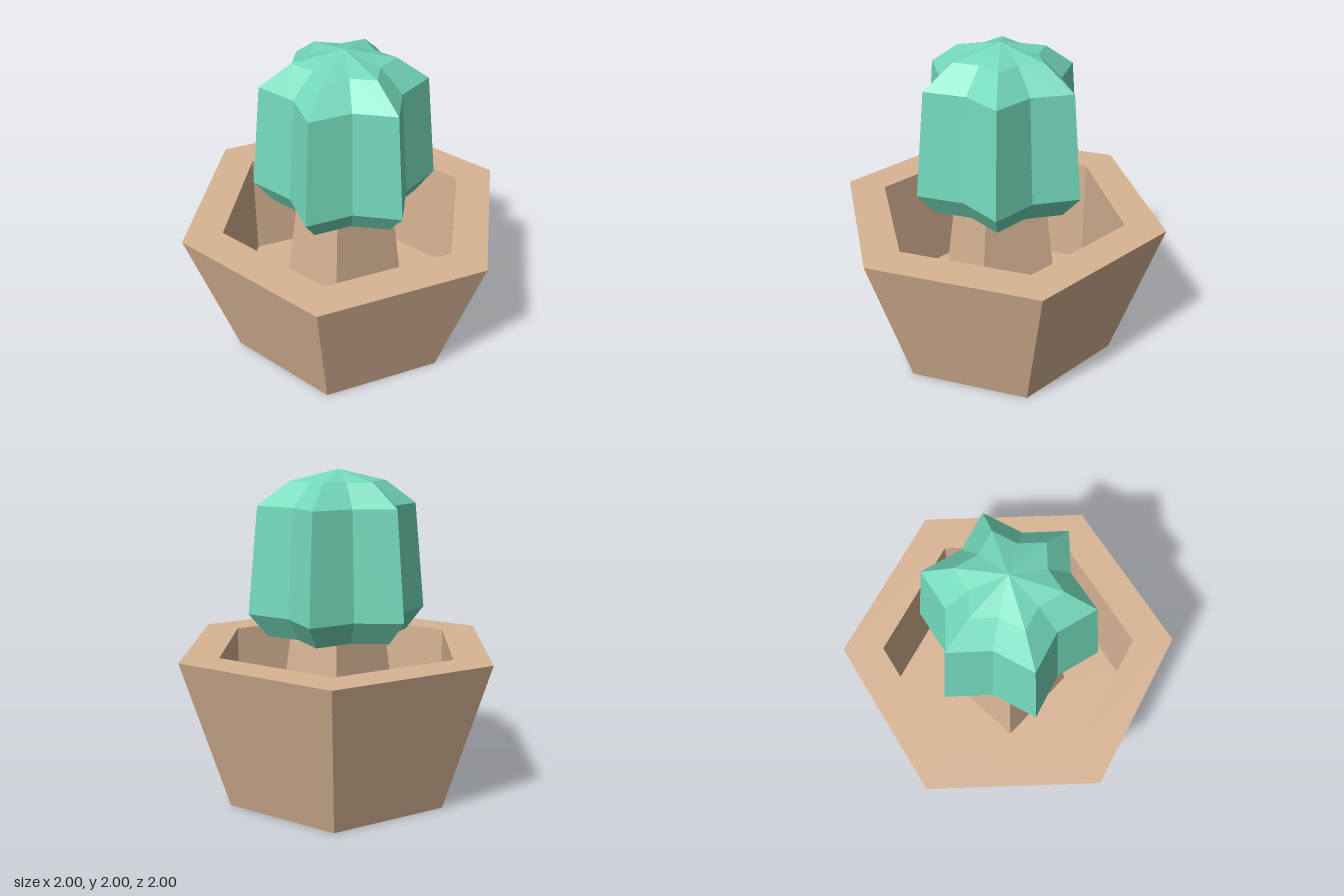
import * as THREE from 'three';

const clay = new THREE.MeshStandardMaterial({ color: 0xd9b595, flatShading: true });
const green = new THREE.MeshStandardMaterial({ color: 0x74d9bb, flatShading: true });

// Faceted solid of revolution from [radius, height] pairs, listed bottom to top
function turned(profile, sides, startAngle) {
  const points = profile.map(([r, y]) => new THREE.Vector2(r, y));
  return new THREE.LatheGeometry(points, sides, startAngle);
}

function addMesh(group, name, geometry, material) {
  const mesh = new THREE.Mesh(geometry, material);
  mesh.name = name;
  group.add(mesh);
}

export function createModel() {
  const group = new THREE.Group();
  group.name = 'pottedCactus';

  // Six-sided flaring pot with a straight-walled hollow
  const pot = turned(
    [[0, 0], [0.74, 0], [1.035, 0.93], [0.786, 0.93], [0.786, 0.2], [0, 0.2]],
    6, THREE.MathUtils.degToRad(-15)
  );
  addMesh(group, 'pot', pot, clay);

  // Square stem, slightly wider at the foot
  const stem = turned(
    [[0, 0.18], [0.28 * Math.SQRT2, 0.18], [0.205 * Math.SQRT2, 1.02], [0, 1.02]],
    4, Math.PI / 4
  );
  addMesh(group, 'stem', stem, clay);

  // Cactus body: twelve sides, with every other column drawn in to form six ribs
  const profile = [[0, 1], [0.44, 1], [0.555, 1.14], [0.49, 1.79], [0.3, 1.93], [0, 2]];
  const cactus = turned(profile, 12, 0);
  const pos = cactus.attributes.position;
  for (let i = 0; i < pos.count; i++) {
    const column = Math.floor(i / profile.length);
    const k = column % 2 === 0 ? 0.725 : 1;
    pos.setXYZ(i, pos.getX(i) * k, pos.getY(i), pos.getZ(i) * k);
  }
  cactus.computeVertexNormals();
  addMesh(group, 'cactusBody', cactus, green);

  return group;
}
